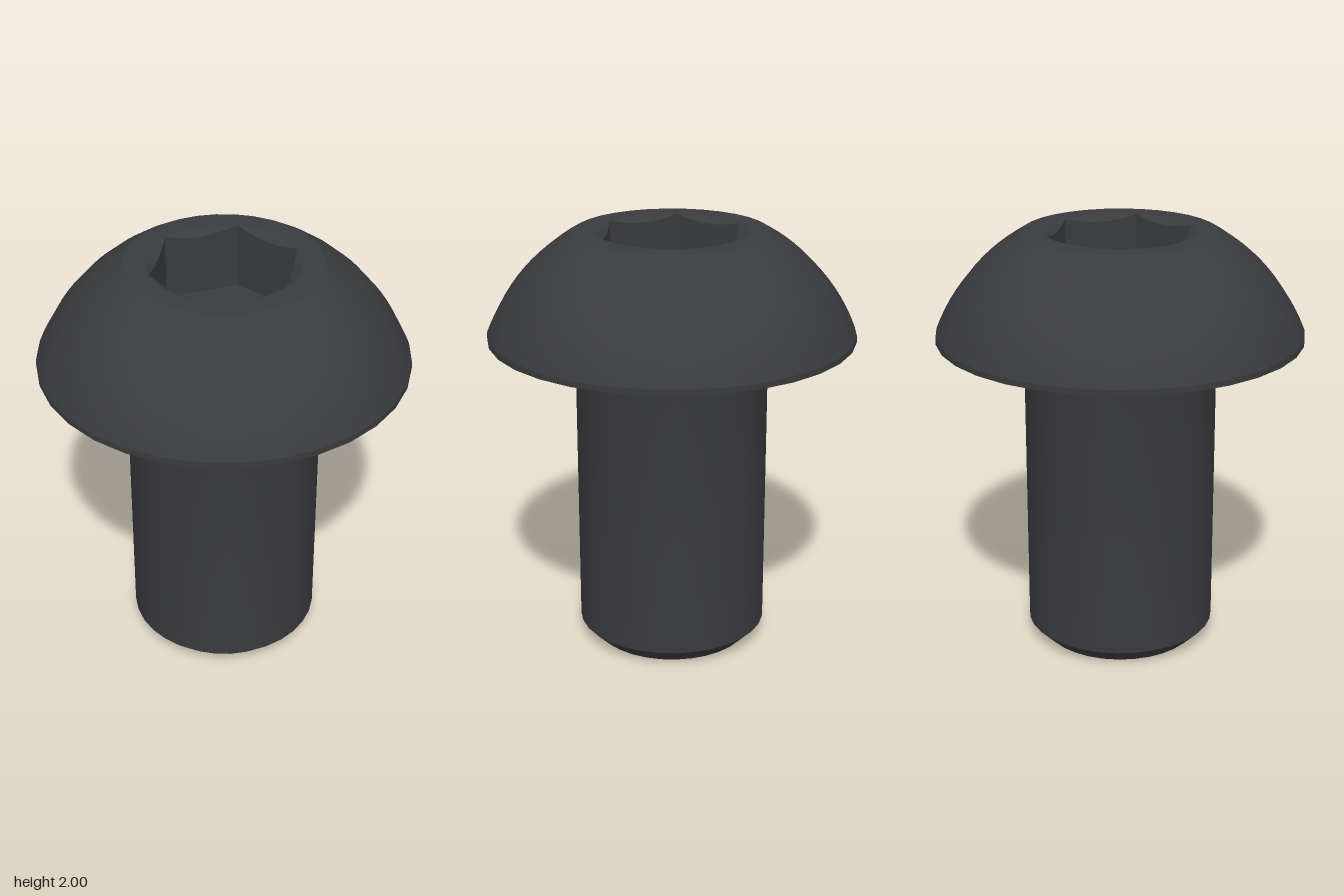
import * as THREE from 'three';
import { toCreasedNormals } from 'three/addons/utils/BufferGeometryUtils.js';

const SIDES = 32;            // segments around the turned body
const HEX_STEPS = 8;         // socket segments per hexagon side
const TOP = 2, HEAD = 1.505; // top face and underside of the head
const SHANK_R = 0.45, HEAD_R = 0.856, FACE_R = 0.45;
const FLAT = 0.301, CORNER = FLAT / Math.cos(Math.PI / 6);
const FLOOR = TOP - 0.313;

// Ring of points around the y axis; r and y are functions of the angle
function ring(count, r, y) {
  return Array.from({ length: count }, (_, i) => {
    const a = (i / count) * Math.PI * 2;
    return new THREE.Vector3(r(a) * Math.cos(a), y(a), -r(a) * Math.sin(a));
  });
}

// Band of quads facing the axis, between two rings
function innerBand(upper, lower) {
  const points = [];
  upper.forEach((u, i) => {
    const j = (i + 1) % upper.length;
    points.push(lower[j], lower[i], u, lower[j], u, upper[j]);
  });
  const geometry = new THREE.BufferGeometry().setFromPoints(points);
  geometry.computeVertexNormals();
  return toCreasedNormals(geometry, 0.35);
}

export function createModel() {
  const group = new THREE.Group();
  const material = new THREE.MeshStandardMaterial({ color: 0x3a3b3d });
  const add = (name, geometry) => {
    const mesh = new THREE.Mesh(geometry, material);
    mesh.name = name;
    group.add(mesh);
    return mesh;
  };
  const lathe = (points) => toCreasedNormals(
    new THREE.LatheGeometry(points.map(([r, y]) => new THREE.Vector2(r, y)), SIDES), 0.38);

  // Shank with chamfered tip and a small fillet under the head
  const shank = [[0, 0], [0.375, 0], [SHANK_R, 0.075]];
  const fillet = 0.025;
  for (let i = 0; i <= 5; i++) {
    const a = (i / 5) * Math.PI / 2;
    shank.push([SHANK_R + fillet * (1 - Math.cos(a)), HEAD - fillet * (1 - Math.sin(a))]);
  }
  add('shank', lathe(shank));

  // Domed head: flat underside, short rim, circular arc up to the top face
  const head = [[SHANK_R + fillet, HEAD], [HEAD_R, HEAD]];
  const rimY = 1.532;
  const centre = (TOP ** 2 + FACE_R ** 2 - rimY ** 2 - HEAD_R ** 2) / (2 * (TOP - rimY));
  const radius = Math.hypot(HEAD_R, rimY - centre);
  const a0 = Math.atan2(rimY - centre, HEAD_R), a1 = Math.atan2(TOP - centre, FACE_R);
  for (let i = 0; i <= 12; i++) {
    const a = a0 + (a1 - a0) * i / 12;
    head.push([radius * Math.cos(a), centre + radius * Math.sin(a)]);
  }
  add('domedHead', lathe(head));

  // Flat top face around the socket
  const count = 6 * HEX_STEPS;
  const mouth = ring(count, () => CORNER, () => TOP);
  const flat = (points) => points.map((p) => new THREE.Vector2(p.x, -p.z));
  const face = new THREE.Shape(flat(ring(SIDES, () => FACE_R, () => TOP)));
  face.holes.push(new THREE.Path(flat(mouth)));
  add('topFace', new THREE.ShapeGeometry(face).rotateX(-Math.PI / 2).translate(0, TOP, 0));

  // Hexagon socket: conical lead-in cut by the six flats, walls and floor
  const hexR = (a) => FLAT / Math.cos((a % (Math.PI / 3)) - Math.PI / 6);
  const leadInY = (a) => TOP - (CORNER - hexR(a)) * Math.tan(Math.PI / 6);
  const hexTop = ring(count, hexR, leadInY);
  add('socketLeadIn', innerBand(mouth, hexTop));
  add('socketWalls', innerBand(hexTop, ring(count, hexR, () => FLOOR)));
  add('socketFloor', new THREE.CircleGeometry(CORNER, 6).rotateX(-Math.PI / 2).translate(0, FLOOR, 0));

  return group;
}
